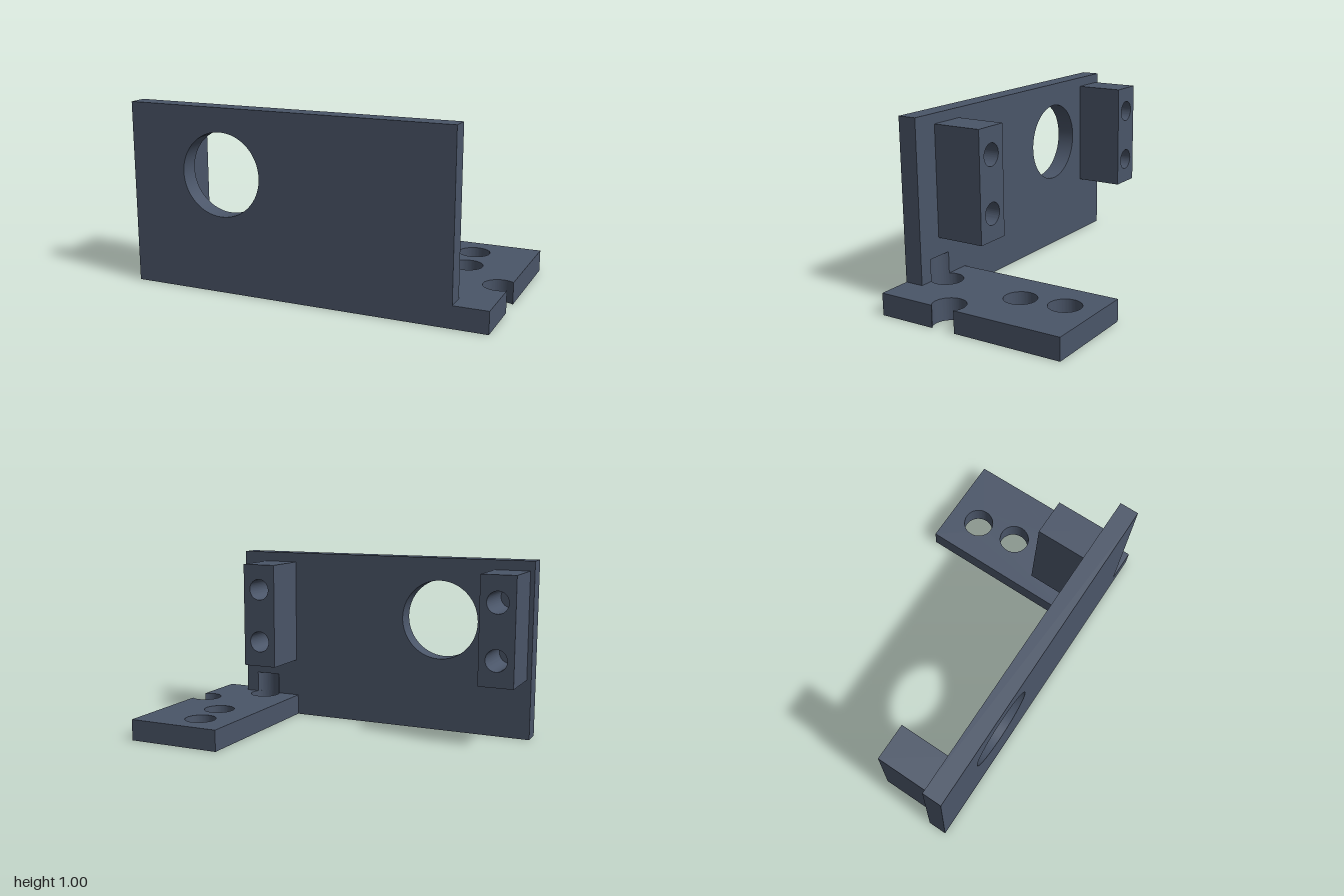
import * as THREE from 'three';
import { toCreasedNormals } from 'three/addons/utils/BufferGeometryUtils.js';

const slate = new THREE.MeshStandardMaterial({ color: 0x4a5568 });
slate.name = 'slate';

const FRONT = 0.53, BACK = 0.425;      // z of the two faces of the upright panel
const BASE_TOP = 0.12, RELIEF_TOP = 0.24;
const R = 0.087;                       // radius of the base holes

function polygon(points) {
  return new THREE.Shape(points.map(([x, y]) => new THREE.Vector2(x, y)));
}

function drill(shape, x, y, r) {
  const hole = new THREE.Path();
  hole.absarc(x, y, r, 0, Math.PI * 2, true);
  shape.holes.push(hole);
}

function extrude(shape, depth) {
  return new THREE.ExtrudeGeometry(shape, { depth, bevelEnabled: false, curveSegments: 40 });
}

function part(name, geometry) {
  const mesh = new THREE.Mesh(toCreasedNormals(geometry, 0.6), slate);
  mesh.name = name;
  return mesh;
}

// Plan outlines are drawn as (x, -z) and raised from y0 to y1
function raise(shape, y0, y1) {
  return extrude(shape, y1 - y0).rotateX(-Math.PI / 2).translate(0, y0, 0);
}

export function createModel() {
  const model = new THREE.Group();
  model.name = 'mountingBracket';

  // Base: foot of the panel plus the rear flange, with an open hole on its side edge
  const base = new THREE.Shape();
  const a = Math.acos((1 - 0.945) / R);
  base.moveTo(-1, -FRONT);
  base.lineTo(1, -FRONT);
  base.absarc(0.945, -0.145, R, -a, a, true);
  base.lineTo(1, 0.53);
  base.lineTo(0.455, 0.53);
  base.lineTo(0.455, -BACK);
  base.lineTo(-1, -BACK);
  base.closePath();
  for (const [x, z] of [[0.665, -0.35], [0.695, -0.107], [0.665, 0.38]]) drill(base, x, -z, R);
  model.add(part('base', raise(base, 0, BASE_TOP)));

  // Lower panel: the front hole of the base bites into its back face
  const lower = new THREE.Shape();
  const b = Math.asin((BACK - 0.38) / R);
  lower.moveTo(-1, -FRONT);
  lower.lineTo(0.815, -FRONT);
  lower.lineTo(0.815, -BACK);
  lower.absarc(0.665, -0.38, R, -b, b - Math.PI, true);
  lower.lineTo(-1, -BACK);
  lower.closePath();
  model.add(part('lowerPanel', raise(lower, BASE_TOP, RELIEF_TOP)));

  // Upper panel with the large round opening
  const upper = polygon([[-1, RELIEF_TOP], [0.815, RELIEF_TOP], [0.815, 1], [-1, 1]]);
  drill(upper, -0.46, 0.645, 0.226);
  model.add(part('upperPanel', extrude(upper, FRONT - BACK).translate(0, 0, BACK)));

  // Two rear mounting blocks, each with a pair of screw holes
  for (const [name, x0, x1] of [['rightBlock', -0.975, -0.777], ['leftBlock', 0.465, 0.667]]) {
    const block = polygon([[x0, 0.34], [x1, 0.34], [x1, 0.945], [x0, 0.945]]);
    for (const y of [0.487, 0.798]) drill(block, (x0 + x1) / 2, y, 0.061);
    model.add(part(name, extrude(block, BACK - 0.147).translate(0, 0, 0.147)));
  }

  return model;
}
